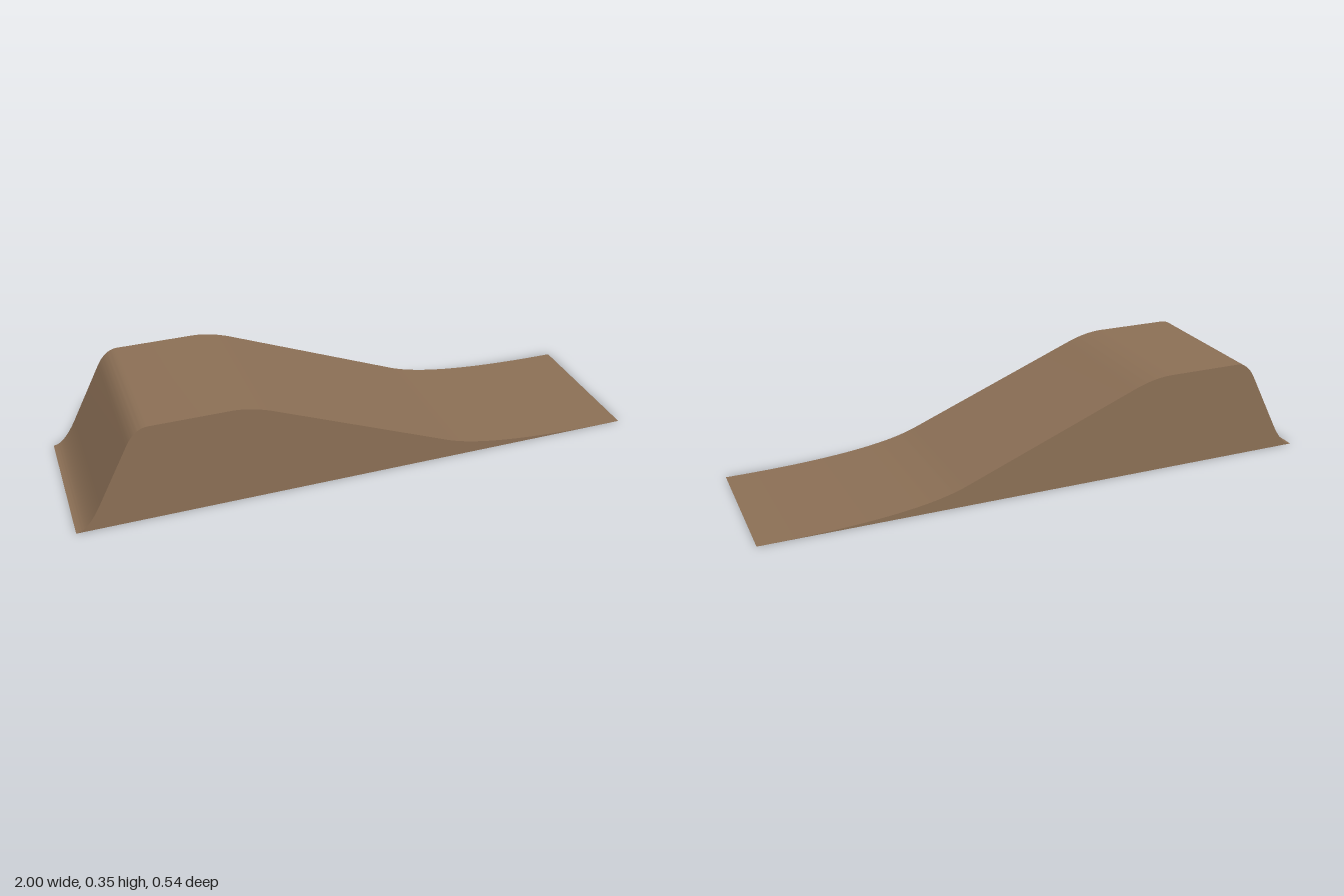
import * as THREE from 'three';
import { toCreasedNormals } from 'three/addons/utils/BufferGeometryUtils.js';

const HEIGHT = 0.353;
const WIDTH = 0.54;

// Side outline: steep S-shaped rise, flat crest, long slope with a gentle run-out
function rampProfile() {
  const s = new THREE.Shape();
  s.moveTo(-1, 0);
  s.quadraticCurveTo(-0.96, 0, -0.91, 0.1);
  s.lineTo(-0.81, 0.295);
  s.quadraticCurveTo(-0.78, HEIGHT, -0.735, HEIGHT);
  s.lineTo(-0.47, HEIGHT);
  s.quadraticCurveTo(-0.4, HEIGHT, -0.32, 0.32);
  s.lineTo(0.3, 0.072);
  s.quadraticCurveTo(0.48, 0, 1, 0);
  s.closePath();
  return s;
}

export function createModel() {
  const group = new THREE.Group();
  group.name = 'ramp';

  const earth = new THREE.MeshStandardMaterial({ color: 0x8b6f55 });
  earth.name = 'earth brown';

  // Solid ramp, smooth along the top and sharp at the sides
  const solid = new THREE.ExtrudeGeometry(rampProfile(), {
    depth: WIDTH, bevelEnabled: false, curveSegments: 20,
  });
  solid.translate(0, 0, -WIDTH / 2);
  const body = new THREE.Mesh(toCreasedNormals(solid, 0.5), earth);
  body.name = 'rampBody';
  group.add(body);

  return group;
}
